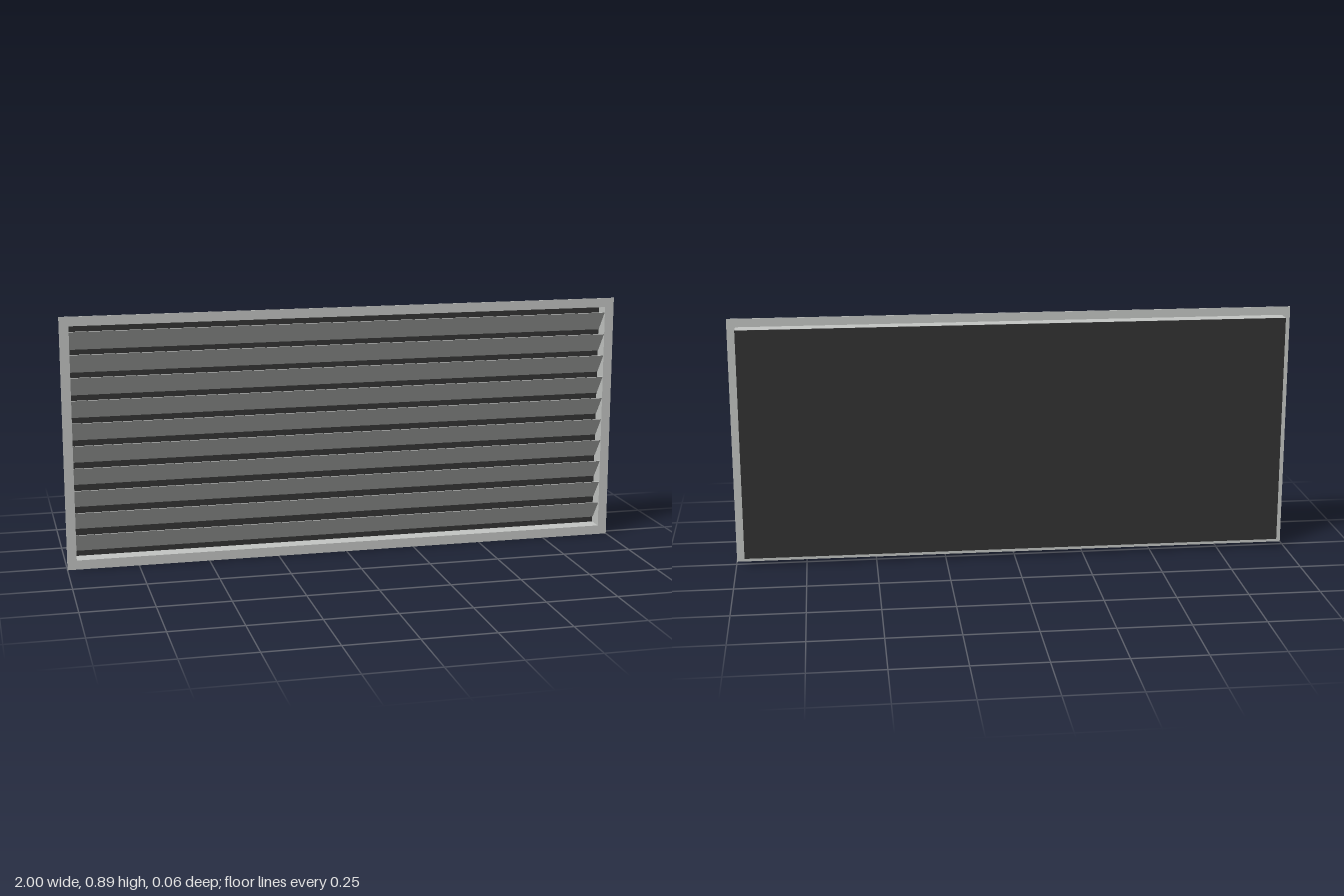
import * as THREE from 'three';

export function createModel() {
  const model = new THREE.Group();
  const metal = new THREE.MeshStandardMaterial({ color: 0xc4c6c4 });
  metal.name = 'greyMetal';
  const dark = new THREE.MeshStandardMaterial({ color: 0x333333 });
  dark.name = 'darkBacking';

  const W = 2, H = 0.89, D = 0.06, lip = 0.03, t = 0.003;
  const midY = H / 2;
  const innerW = W - 2 * lip, innerH = H - 2 * lip;

  function add(name, geometry, material, x, y, z) {
    const mesh = new THREE.Mesh(geometry, material);
    mesh.name = name;
    mesh.position.set(x, y, z);
    model.add(mesh);
    return mesh;
  }

  function rectangle(PathType, w, h) {
    return new PathType([
      new THREE.Vector2(-w / 2, -h / 2), new THREE.Vector2(w / 2, -h / 2),
      new THREE.Vector2(w / 2, h / 2), new THREE.Vector2(-w / 2, h / 2),
    ]);
  }

  // A rectangular ring, extruded towards the front
  function ring(w, h, holeW, holeH, depth) {
    const shape = rectangle(THREE.Shape, w, h);
    shape.holes.push(rectangle(THREE.Path, holeW, holeH));
    return new THREE.ExtrudeGeometry(shape, { depth, bevelEnabled: false });
  }

  // Thin front flange and the box-shaped duct collar behind it
  const holeW = innerW - 2 * t, holeH = innerH - 2 * t;
  add('frontFlange', ring(W, H, holeW, holeH, t), metal, 0, midY, D / 2 - t);
  add('collar', ring(innerW, innerH, holeW, holeH, D - 2 * t), metal, 0, midY, -D / 2 + t);

  // Dark panel closing the back
  add('backPanel', new THREE.BoxGeometry(innerW, innerH, t), dark, 0, midY, -D / 2 + t / 2);

  // Louvre slats, front edge high and back edge low
  const count = 10, pitch = 0.0794, rise = 0.069, run = 0.052;
  const slat = new THREE.BoxGeometry(holeW, Math.hypot(rise, run), 0.002);
  for (let i = 0; i < count; i++) {
    const y = midY + (i - (count - 1) / 2) * pitch;
    const mesh = add('slat' + (i + 1), slat, metal, 0, y, 0.001);
    mesh.rotation.x = Math.atan2(run, rise);
  }
  return model;
}
